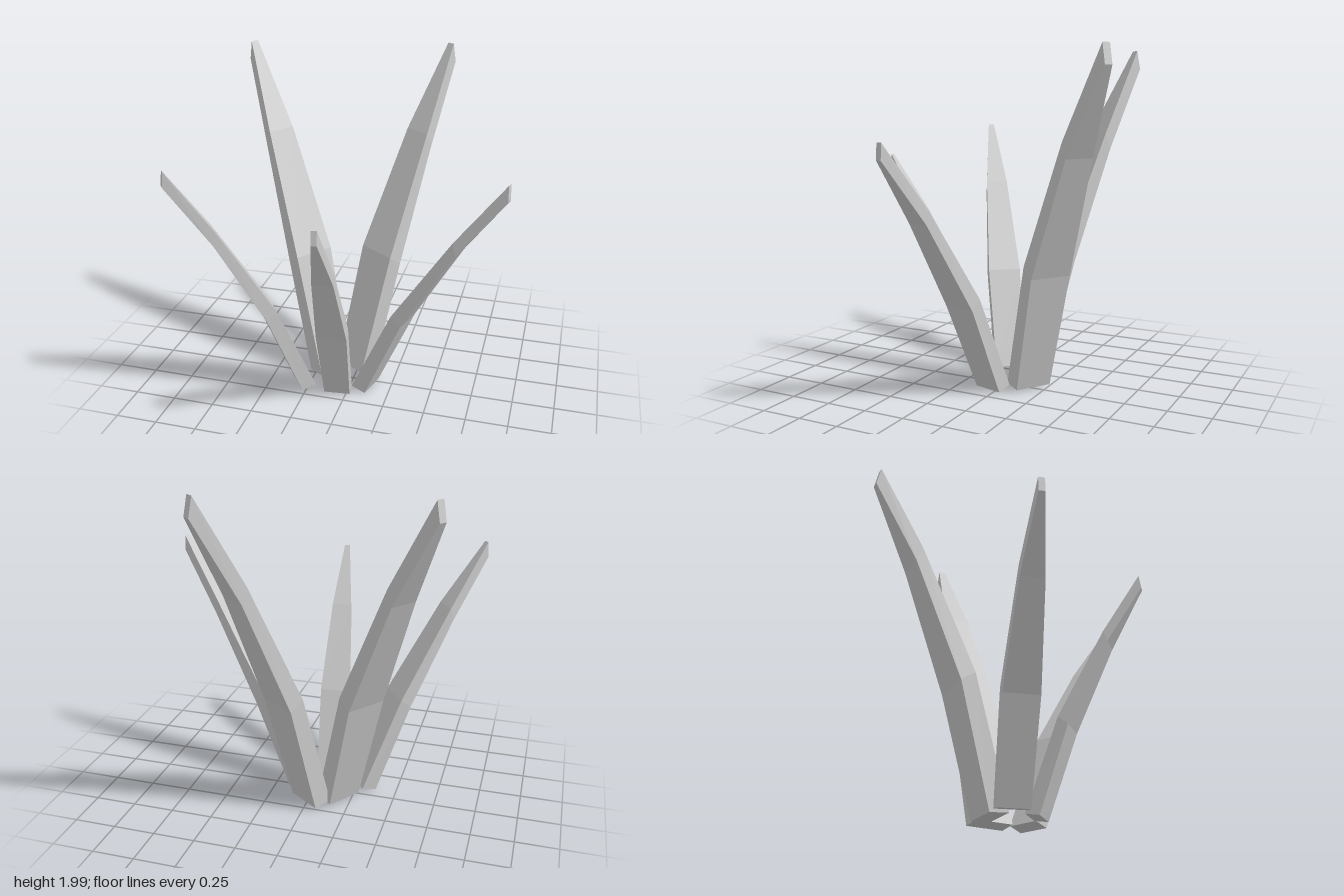
import * as THREE from 'three';

// Leaf profile as [outward, up] from the inner base edge, plus the width of each section
const INNER = [[0, 0], [0.217, 0.75], [0.541, 1.47], [0.803, 1.97]];
const OUTER = [[0.115, -0.01], [0.302, 0.69], [0.578, 1.38], [0.827, 1.86]];
const WIDTH = [0.225, 0.255, 0.17, 0.045];

// Thick tapering leaf: a three-segment box bent outward along the profile
function leafGeometry() {
  const box = new THREE.BoxGeometry(1, 1, 1, 1, 3, 1);
  const p = box.attributes.position;
  for (let i = 0; i < p.count; i++) {
    const row = Math.round((p.getY(i) + 0.5) * 3);
    const [out, up] = (p.getZ(i) < 0 ? INNER : OUTER)[row];
    p.setXYZ(i, p.getX(i) * WIDTH[row], up, out);
  }
  const flat = box.toNonIndexed();
  flat.computeVertexNormals();
  return flat;
}

// Base position, outward heading (x, z), extra lean in degrees, and size
const LEAVES = [
  { name: 'backLeftLeaf', x: -0.049, z: -0.095, heading: [0.57, -0.82], lean: 0, size: 1 },
  { name: 'backRightLeaf', x: -0.123, z: -0.031, heading: [-0.8, -0.6], lean: 0, size: 1 },
  { name: 'leftLeaf', x: 0.045, z: 0.031, heading: [0.965, 0.255], lean: 8.8, size: 0.81 },
  { name: 'frontRightLeaf', x: -0.248, z: 0.093, heading: [-0.808, 0.589], lean: 6.3, size: 0.797 },
  { name: 'frontLeaf', x: -0.06, z: 0.118, heading: [0.104, 0.995], lean: 4.3, size: 0.704 },
];

export function createModel() {
  const plant = new THREE.Group();
  plant.name = 'plant';
  const geometry = leafGeometry();
  const material = new THREE.MeshStandardMaterial({ color: 0xcccccc, flatShading: true });

  for (const { name, x, z, heading, lean, size } of LEAVES) {
    const leaf = new THREE.Mesh(geometry, material);
    leaf.name = name;
    leaf.position.set(x, 0.028, z);
    leaf.rotation.set(THREE.MathUtils.degToRad(lean), Math.atan2(heading[0], heading[1]), 0, 'YXZ');
    leaf.scale.setScalar(size);
    plant.add(leaf);
  }
  return plant;
}
